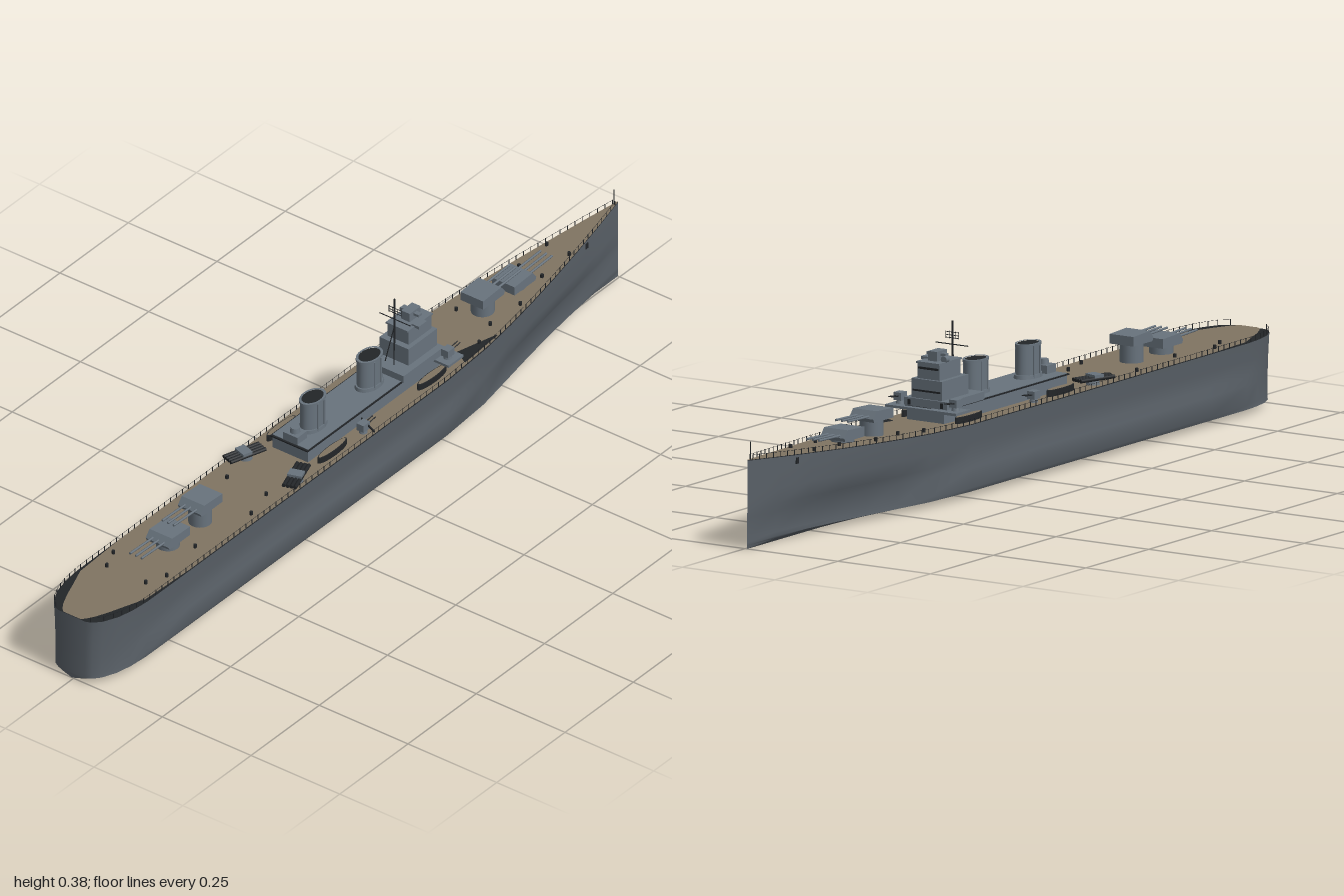
import * as THREE from 'three';
import { mergeGeometries, toCreasedNormals } from 'three/addons/utils/BufferGeometryUtils.js';

const mat = (name, color, side = THREE.FrontSide) => {
  const m = new THREE.MeshStandardMaterial({ color, side });
  m.name = name;
  return m;
};

// half-breadth of the deck edge along the length: [x, half width]
const PLAN = [[-1, 0.04], [-0.992, 0.055], [-0.975, 0.07], [-0.94, 0.086], [-0.9, 0.095], [-0.85, 0.0995], [-0.7, 0.1],
  [-0.4, 0.1], [0, 0.1], [0.25, 0.1], [0.4, 0.094], [0.5, 0.084], [0.6, 0.071], [0.7, 0.056], [0.8, 0.039], [0.9, 0.021], [1, 0.001]];
const breadth = (x) => {
  let i = 0;
  while (i < PLAN.length - 2 && x > PLAN[i + 1][0]) i++;
  const [x0, w0] = PLAN[i], [x1, w1] = PLAN[i + 1];
  return w0 + (w1 - w0) * (x - x0) / (x1 - x0);
};
const sheer = (x) => 0.167 + (x > 0.2 ? 0.034 * Math.pow((x - 0.2) / 0.8, 1.5) : 0);

export function createModel() {
  const hullGrey = mat('hull grey', 0x596067);
  const steel = mat('superstructure grey', 0x68737d);
  const wood = mat('deck wood', 0x807462);
  const dark = mat('dark fittings', 0x222528, THREE.DoubleSide);
  const root = new THREE.Group();
  root.name = 'warship';
  const ship = new THREE.Group();
  ship.name = 'ship';
  ship.position.z = -0.005;
  root.add(ship);

  const add = (name, geo, material, x = 0, y = 0, z = 0, parent = ship) => {
    const m = new THREE.Mesh(geo, material);
    m.name = name;
    m.position.set(x, y, z);
    parent.add(m);
    return m;
  };
  // box given by its x range, y range and half width
  const block = (name, x0, x1, y0, y1, half, material = steel, z = 0) =>
    add(name, new THREE.BoxGeometry(x1 - x0, y1 - y0, half * 2), material, (x0 + x1) / 2, (y0 + y1) / 2, z);
  const rod = (a, b, r, sides = 6) => {
    const d = new THREE.Vector3().subVectors(b, a);
    const g = new THREE.CylinderGeometry(r, r, d.length(), sides);
    g.applyQuaternion(new THREE.Quaternion().setFromUnitVectors(new THREE.Vector3(0, 1, 0), d.clone().normalize()));
    return g.translate((a.x + b.x) / 2, (a.y + b.y) / 2, (a.z + b.z) / 2);
  };
  const V = (x, y, z) => new THREE.Vector3(x, y, z);

  // hull: lofted cross-sections with a side bulge and a shallow V bottom
  const stations = PLAN.map((p) => p[0]);
  const section = (x) => {
    const w = breadth(x), top = sheer(x);
    const fine = x > 0.35 ? 1 - 0.4 * Math.min(1, (x - 0.35) / 0.4) : 1;
    const bulge = THREE.MathUtils.smoothstep(x, -0.95, -0.7) * (1 - THREE.MathUtils.smoothstep(x, 0.2, 0.5));
    const half = [[w, top], [w * 0.96, 0.125], [w * (0.94 - (1 - fine) * 0.3), 0.09],
      [w * fine * (0.93 + 0.07 * bulge), 0.07], [w * fine * (0.92 + 0.08 * bulge), 0.024],
      [w * fine * 0.94, 0.014], [w * fine * 0.6, 0.008]];
    return [...half, [0, 0], ...half.slice().reverse().map(([z, y]) => [-z, y])];
  };
  const pos = [], idx = [], n = section(0).length;
  stations.forEach((x, i) => {
    section(x).forEach(([z, y]) => pos.push(x, y, z));
    if (i === 0) return;
    for (let j = 0; j < n - 1; j++) {
      const a = (i - 1) * n + j, b = i * n + j;
      idx.push(a, a + 1, b, b, a + 1, b + 1);
    }
  });
  for (let j = 0; j < 7; j++) { // transom
    const a = j, b = j + 1, c = n - 1 - j, d = n - 2 - j;
    idx.push(a, c, b);
    if (b !== d) idx.push(b, c, d);
  }
  const hull = new THREE.BufferGeometry();
  hull.setAttribute('position', new THREE.Float32BufferAttribute(pos, 3));
  hull.setIndex(idx);
  add('hull', toCreasedNormals(hull, 0.7), hullGrey);

  // deck strips following the sheer
  const deckStrip = (name, xs, width, lift, material) => {
    const p = [], f = [];
    xs.forEach((x, i) => {
      const w = width(x), y = sheer(x) + lift;
      p.push(x, y, w, x, y, -w);
      if (i) f.push(2 * i - 2, 2 * i, 2 * i - 1, 2 * i, 2 * i + 1, 2 * i - 1);
    });
    const g = new THREE.BufferGeometry();
    g.setAttribute('position', new THREE.Float32BufferAttribute(p, 3));
    g.setIndex(f);
    g.computeVertexNormals();
    add(name, g, material);
  };
  deckStrip('deckEdge', stations, breadth, 0, dark);
  deckStrip('woodenDeck', stations, (x) => (x < -0.84 ? breadth(x) * (1 - 0.42 * Math.pow((-0.84 - x) / 0.16, 0.6)) : breadth(x) * 0.985), 0.0015, wood);
  // dark deck patch on the port bow
  const patch = new THREE.Shape([[0.32, -0.093], [0.46, -0.084], [0.34, -0.052]].map(([x, y]) => new THREE.Vector2(x, y)));
  add('deckPatch', new THREE.ShapeGeometry(patch).rotateX(-Math.PI / 2), dark, 0, 0.1745, 0);

  // guard rails on both sides
  const rails = [];
  for (const s of [1, -1]) {
    let prev = null;
    for (let x = -0.995; x < 0.99; x += 0.022) {
      const z = s * breadth(x) * 0.98, y = sheer(x);
      rails.push(new THREE.BoxGeometry(0.0014, 0.013, 0.0014).translate(x, y + 0.0065, z));
      if (prev) rails.push(rod(prev, V(x, y + 0.012, z), 0.0004, 3));
      prev = V(x, y + 0.012, z);
    }
  }
  add('guardRails', mergeGeometries(rails), dark);

  // main turrets: barbette, sloped gunhouse and three barrels
  const house = new THREE.Shape([[-0.04, 0], [0.036, 0], [0.04, 0.008], [0.026, 0.025], [-0.04, 0.022]].map(([x, y]) => new THREE.Vector2(x, y)));
  const turret = (name, x, y, dir) => {
    const g = new THREE.Group();
    g.name = name;
    g.position.set(x, y, 0);
    g.rotation.y = dir > 0 ? 0 : Math.PI;
    ship.add(g);
    const h = y - sheer(x) + 0.002;
    add('barbette', new THREE.CylinderGeometry(0.027, 0.027, h, 20), steel, 0, -h / 2, 0, g);
    add('gunhouse', new THREE.ExtrudeGeometry(house, { depth: 0.064, bevelEnabled: false }).translate(0, 0, -0.032), steel, 0, 0, 0, g);
    for (const z of [-0.016, 0, 0.016]) add('barrel', rod(V(0.03, 0.012, z), V(0.118, 0.015, z), 0.0028, 8), steel, 0, 0, 0, g);
  };
  turret('foreTurret', 0.62, 0.189, 1);
  turret('foreUpperTurret', 0.505, 0.213, 1);
  turret('aftTurret', -0.648, 0.187, -1);
  turret('aftUpperTurret', -0.53, 0.212, -1);

  // deckhouse and stepped bridge tower
  block('deckhouse', -0.2, 0.29, 0.165, 0.2, 0.05);
  block('deckhouseEdge', -0.205, 0.295, 0.199, 0.202, 0.053, dark);
  block('deckhouseRoof', -0.2, 0.29, 0.2, 0.2035, 0.05, steel);
  block('bridgeWing', 0.255, 0.31, 0.196, 0.202, 0.096);
  block('bridgeBase', 0.14, 0.29, 0.202, 0.22, 0.058);
  block('bridgeLower', 0.18, 0.285, 0.22, 0.264, 0.041);
  block('bridgeUpper', 0.195, 0.278, 0.264, 0.3, 0.03);
  block('bridgeRoof', 0.19, 0.282, 0.299, 0.303, 0.031);
  block('directorTower', 0.222, 0.262, 0.303, 0.325, 0.012);
  block('rangefinder', 0.236, 0.248, 0.314, 0.32, 0.026);
  block('sideDirector', 0.215, 0.245, 0.3, 0.307, 0.01, steel, 0.033);
  block('bridgeWindows', 0.277, 0.2795, 0.286, 0.291, 0.027, dark);
  block('lowerWindows', 0.284, 0.2865, 0.236, 0.24, 0.037, dark);
  for (const z of [-0.044, 0.044]) block('bridgeDoor', 0.289, 0.2915, 0.204, 0.216, 0.004, dark, z);
  add('searchlight', new THREE.CylinderGeometry(0.008, 0.008, 0.012, 12).rotateZ(Math.PI / 2), steel, 0.25, 0.308, -0.026);

  // masts, yards and aerial frame
  const mast = [rod(V(0.182, 0.2, 0), V(0.182, 0.382, 0), 0.0022), rod(V(0.182, 0.328, -0.042), V(0.182, 0.328, 0.045), 0.0012),
    rod(V(0.16, 0.2, 0.015), V(0.182, 0.31, 0), 0.0014), rod(V(0.16, 0.2, -0.015), V(0.182, 0.31, 0), 0.0014)];
  for (const y of [0.343, 0.349, 0.356]) mast.push(rod(V(0.184, y, -0.018), V(0.184, y, 0.018), 0.0008));
  for (const z of [-0.017, -0.008, 0.008, 0.017]) mast.push(rod(V(0.184, 0.341, z), V(0.184, 0.358, z), 0.0007));
  add('mast', mergeGeometries(mast), dark);
  add('jackstaff', rod(V(0.986, 0.198, 0), V(0.986, 0.242, 0), 0.001), dark);

  // funnels: oval casing, cap, dark mouth and side pipes
  for (const x of [-0.118, 0.09]) {
    const g = new THREE.Group();
    g.name = 'funnel';
    g.position.set(x, 0.2, 0);
    g.scale.z = 0.66;
    ship.add(g);
    add('casing', new THREE.CylinderGeometry(0.035, 0.036, 0.08, 28, 1, true), steel, 0, 0.04, 0, g);
    add('cap', new THREE.CylinderGeometry(0.038, 0.038, 0.006, 28, 1, true), steel, 0, 0.079, 0, g);
    add('capRim', new THREE.RingGeometry(0.031, 0.038, 28).rotateX(-Math.PI / 2), steel, 0, 0.082, 0, g);
    add('mouth', new THREE.CircleGeometry(0.032, 28).rotateX(-Math.PI / 2), dark, 0, 0.081, 0, g);
    add('skirt', new THREE.CylinderGeometry(0.04, 0.042, 0.012, 28), steel, 0, 0.006, 0, g);
    for (const s of [1, -1]) for (const px of [-0.012, 0.012])
      add('steamPipe', new THREE.CylinderGeometry(0.0025, 0.0025, 0.076, 8), steel, px, 0.04, s * 0.037, g);
  }

  // ship's boats with wooden tops
  const oval = new THREE.Shape().absellipse(0, 0, 0.052, 0.011, 0, Math.PI * 2);
  // mirrored side fittings
  for (const s of [1, -1]) {
    for (const x of [-0.14, 0.225]) {
      add('boatHull', new THREE.ExtrudeGeometry(oval, { depth: 0.014, bevelEnabled: false, curveSegments: 10 }).rotateX(-Math.PI / 2), dark, x, 0.17, s * 0.072);
      const top = add('boatDeck', new THREE.ShapeGeometry(oval, 10).rotateX(-Math.PI / 2), wood, x, 0.185, s * 0.072);
      top.scale.set(0.93, 1, 0.8);
    }
    // torpedo tube mounts
    const t = new THREE.Group();
    t.name = 'torpedoMount';
    t.position.set(-0.27, 0.168, s * 0.072);
    t.rotation.y = s * 0.32;
    ship.add(t);
    add('mountBase', new THREE.CylinderGeometry(0.014, 0.016, 0.01, 16), steel, 0, 0.005, 0, t);
    for (let i = -1.5; i < 2; i++) add('tube', rod(V(-0.05, 0.0145, i * 0.009), V(0.045, 0.0145, i * 0.009), 0.0045, 10), dark, 0, 0, 0, t);
    add('shield', new THREE.BoxGeometry(0.025, 0.012, 0.034), steel, -0.005, 0.018, 0, t);
    // secondary guns on the wings and beside the deckhouse
    for (const [x, y] of [[0.28, 0.202], [-0.03, 0.169]]) {
      add('gunPedestal', new THREE.CylinderGeometry(0.008, 0.01, 0.008, 12), steel, x, y + 0.004, s * 0.075);
      add('gunShield', new THREE.BoxGeometry(0.024, 0.018, 0.02), steel, x, y + 0.017, s * 0.075);
      for (const z of [-0.004, 0.004]) add('gunBarrel', rod(V(x + 0.01, y + 0.018, s * 0.075 + z), V(x + 0.04, y + 0.021, s * 0.075 + z), 0.0014), dark);
    }
    // bollards and deck vents
    [-0.8, -0.75, -0.62, -0.44, -0.36, 0.4, 0.47, 0.57, 0.68, 0.78].forEach((x, i) =>
      add('bollard', new THREE.CylinderGeometry(0.004, 0.004, 0.01, 8), dark, x, sheer(x) + 0.005, s * breadth(x) * (i % 2 ? 0.75 : 0.55)));
    block('anchorRecess', 0.84, 0.85, 0.172, 0.186, 0.002, dark, s * (breadth(0.845) * 0.985));
  }
  // trained-out boom on the port side
  add('boatBoom', rod(V(-0.01, 0.187, 0.055), V(-0.035, 0.187, 0.11), 0.0025), dark);
  // aft control position
  block('aftControl', -0.2, -0.165, 0.202, 0.222, 0.02);
  add('aftDirector', new THREE.CylinderGeometry(0.01, 0.012, 0.012, 12), steel, -0.182, 0.228, 0);
  return root;
}
